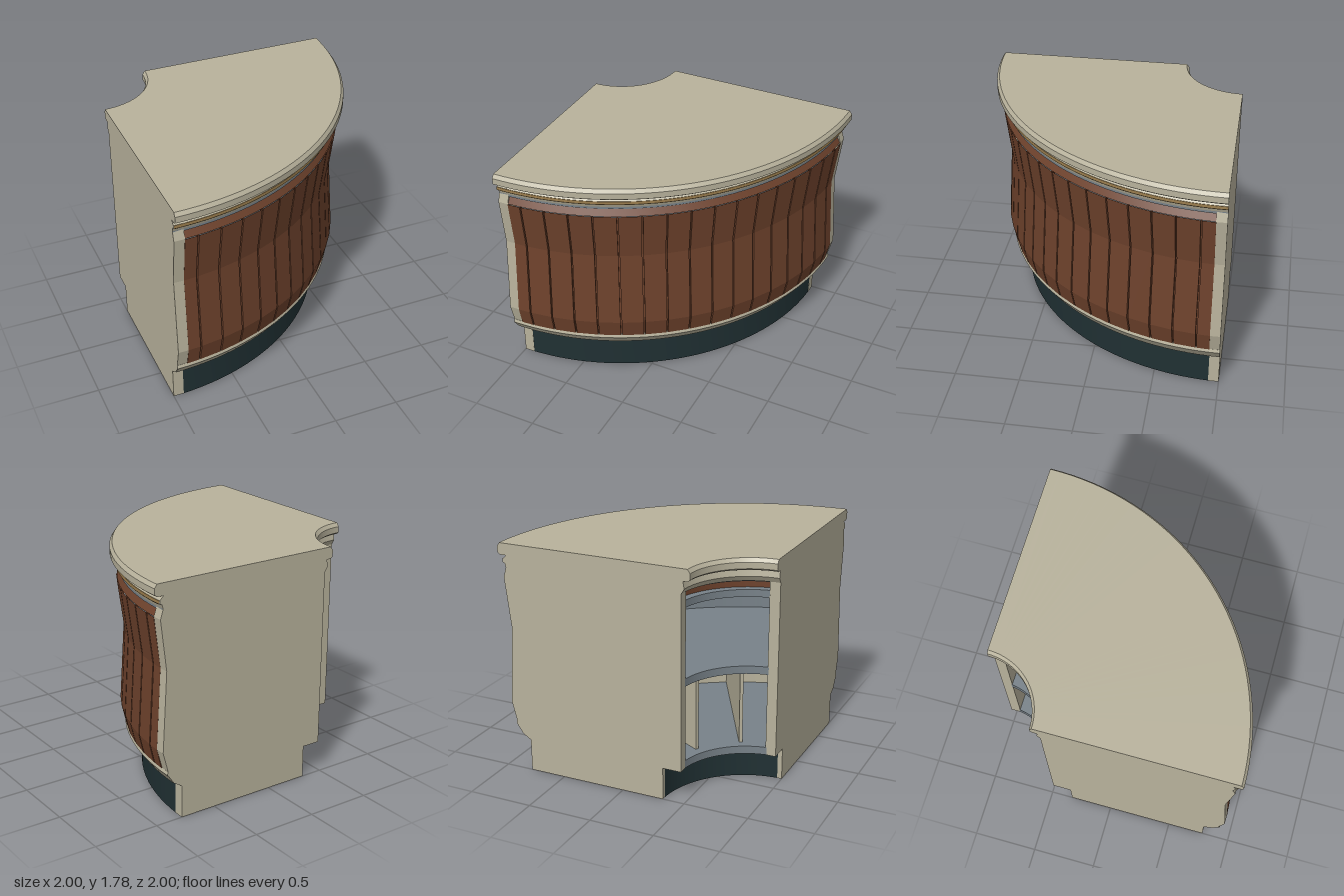
import * as THREE from 'three';
import { toCreasedNormals } from 'three/addons/utils/BufferGeometryUtils.js';

const mat = (name, color) => new THREE.MeshStandardMaterial({ name, color });
const DEG = Math.PI / 180;

export function createModel() {
  const cream = mat('cream', 0xb8b29c);
  const wood = mat('wood', 0x6e422c);
  const gold = mat('gold', 0x937749);
  const dark = mat('darkKick', 0x203033);
  const grey = mat('greyInterior', 0x788289);

  // Everything is swept round one corner, which is the origin of this group
  const counter = new THREE.Group();
  counter.name = 'cornerCounter';
  counter.position.set(-1, 0, -1);

  const add = (name, geometry, material) => {
    const mesh = new THREE.Mesh(geometry, material);
    mesh.name = name;
    counter.add(mesh);
    return mesh;
  };

  // Sweep a closed counter-clockwise (radius, height) profile through the quarter turn
  const sweep = (name, profile, material, margin = 0) => {
    const pts = [...profile, profile[0]].map(([r, y]) => new THREE.Vector2(r, y));
    const g = new THREE.LatheGeometry(pts, 36, margin * DEG, (90 - 2 * margin) * DEG);
    return add(name, toCreasedNormals(g, 0.2), material);
  };
  const slab = (name, r0, r1, y0, y1, material, margin) =>
    sweep(name, [[r0, y0], [r1, y0], [r1, y1], [r0, y1]], material, margin);

  // End panels, whose outline follows all the mouldings
  const outline = [
    [0.67, 0], [1.785, 0], [1.785, 0.25], [1.85, 0.29], [1.905, 0.37], [1.9, 0.395],
    [1.94, 0.545], [1.905, 1.15], [1.952, 1.53], [1.93, 1.6], [1.938, 1.635], [1.956, 1.64],
    [1.956, 1.665], [1.925, 1.695], [1.975, 1.695], [1.996, 1.71], [1.996, 1.757], [1.976, 1.785],
    [0.477, 1.785], [0.457, 1.757], [0.457, 1.71], [0.475, 1.695], [0.51, 1.695], [0.5, 1.64],
    [0.525, 1.6], [0.525, 0.25], [0.67, 0.25],
  ];
  const panelShape = new THREE.Shape(outline.map(([r, y]) => new THREE.Vector2(r, y)));
  const panelGeo = new THREE.ExtrudeGeometry(panelShape, { depth: 0.08, bevelEnabled: false });
  add('rearEndPanel', panelGeo, cream);
  const sidePanel = add('sideEndPanel', panelGeo, cream);
  sidePanel.rotation.y = -Math.PI / 2;
  sidePanel.position.x = 0.08;

  // Worktop with chamfered edges
  sweep('worktop', [
    [0.475, 1.695], [1.98, 1.695], [2, 1.71], [2, 1.757], [1.98, 1.785],
    [0.475, 1.785], [0.455, 1.757], [0.455, 1.71],
  ], cream);

  // Mouldings under the worktop, front and back
  sweep('upperCove', [[1.85, 1.66], [1.96, 1.66], [1.928, 1.695], [1.85, 1.695]], cream);
  sweep('goldTrim', [[1.85, 1.635], [1.956, 1.635], [1.963, 1.642], [1.96, 1.664], [1.85, 1.664]], gold, 0.06);
  sweep('lowerCove', [[1.85, 1.603], [1.932, 1.603], [1.944, 1.635], [1.85, 1.635]], cream);
  sweep('innerCove', [[0.525, 1.6], [0.8, 1.6], [0.8, 1.695], [0.51, 1.695], [0.5, 1.64]], cream);
  slab('topBoard', 0.56, 1.932, 1.585, 1.603, grey, 0.06);
  sweep('woodCap', [[0.6, 1.53], [1.95, 1.53], [1.92, 1.585], [0.6, 1.585]], wood, 2.35);

  // Curved front of flat wooden staves with narrow grooves between them
  const front = [[1.908, 0.395], [1.942, 0.545], [1.907, 1.15], [1.956, 1.53]];
  const columns = [];
  const count = 17, step = 90 / count, gap = 0.16;
  for (let k = 0; k < count; k++) {
    const a = Math.max(k * step + gap, 2.3), b = Math.min((k + 1) * step - gap, 87.7);
    columns.push([a, -0.02], [a, 0], [b, 0], [b, -0.02]);
  }
  const pos = [];
  const point = ([angle, dr], [r, y]) =>
    [(r + dr) * Math.sin(angle * DEG), y, (r + dr) * Math.cos(angle * DEG)];
  for (let i = 0; i < columns.length - 1; i++) {
    for (let j = 0; j < front.length - 1; j++) {
      const a = point(columns[i], front[j]), b = point(columns[i + 1], front[j]);
      const c = point(columns[i + 1], front[j + 1]), d = point(columns[i], front[j + 1]);
      pos.push(...a, ...b, ...c, ...a, ...c, ...d);
    }
  }
  const staves = new THREE.BufferGeometry();
  staves.setAttribute('position', new THREE.Float32BufferAttribute(pos, 3));
  staves.computeVertexNormals();
  add('woodStaves', staves, wood);

  // Base moulding and recessed kick boards
  sweep('baseMoulding', [
    [1.75, 0.25], [1.787, 0.25], [1.853, 0.29], [1.91, 0.37], [1.902, 0.395], [1.75, 0.395],
  ], cream);
  slab('frontKick', 1.745, 1.785, 0, 0.25, dark, 2.5);
  slab('backKick', 0.67, 0.71, 0, 0.25, dark, 3);

  // Open shelving on the concave side
  slab('interiorWall', 1.82, 1.86, 0.3, 1.53, grey, 1);
  slab('bottomShelf', 0.53, 1.75, 0.25, 0.31, grey, 1);
  slab('middleShelf', 0.53, 1.83, 0.89, 0.95, grey, 1);
  slab('topRail', 0.54, 1.83, 1.475, 1.53, grey, 1);

  // Upright dividers beneath the middle shelf
  for (const angle of [28.5, 62]) {
    const divider = add('shelfDivider', new THREE.BoxGeometry(1.24, 0.58, 0.025), cream);
    const r = 0.6 + 0.62;
    divider.position.set(r * Math.cos(angle * DEG), 0.6, r * Math.sin(angle * DEG));
    divider.rotation.y = -angle * DEG;
  }

  const model = new THREE.Group();
  model.name = 'cornerCounterModel';
  model.add(counter);
  return model;
}
